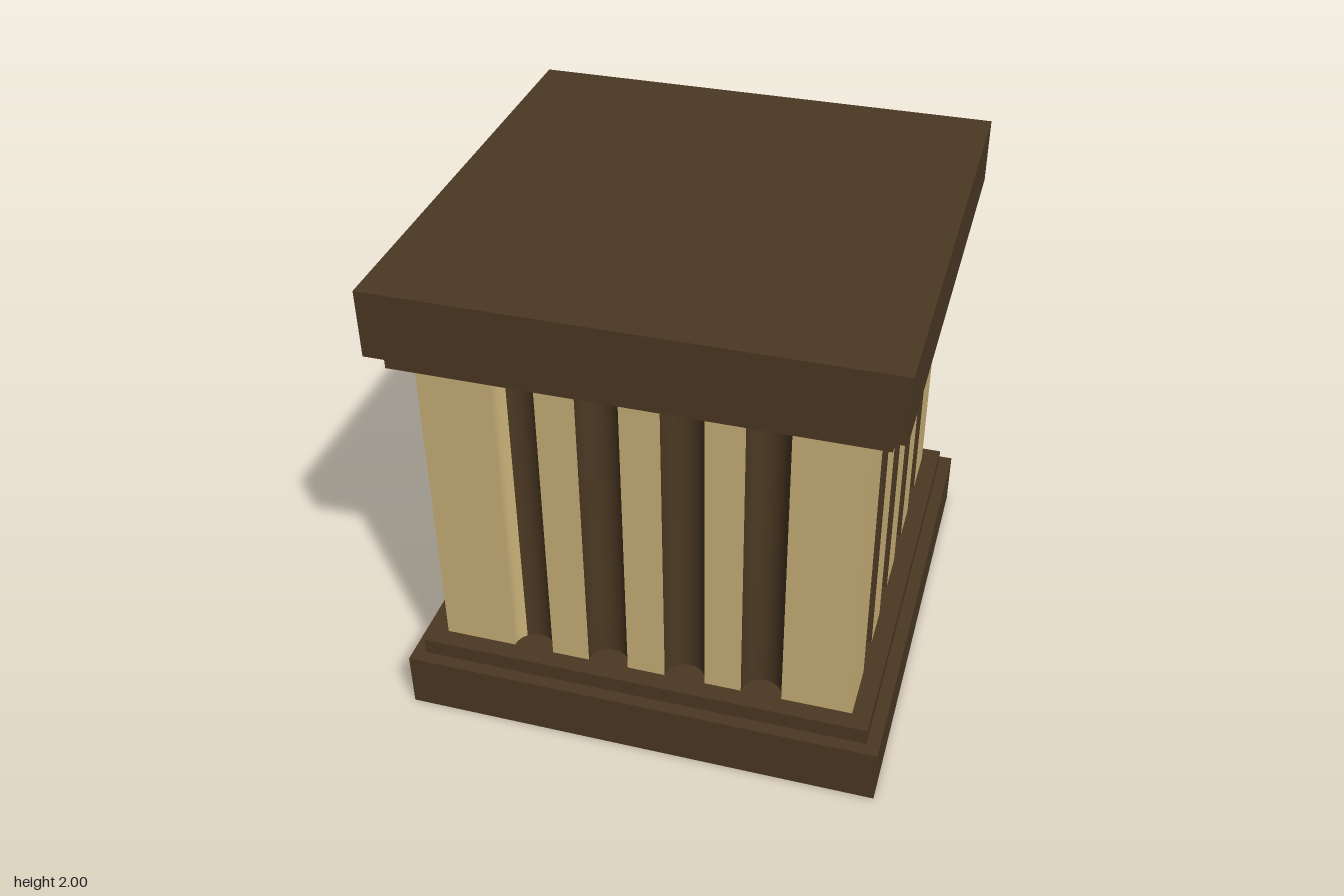
import * as THREE from 'three';

const HALF = 0.845;   // half width of the shaft
const Y0 = 0.31, Y1 = 1.655;
const H = Y1 - Y0, MID = (Y0 + Y1) / 2;

export function createModel() {
  const wood = new THREE.MeshStandardMaterial({ color: 0x4b3823 });
  wood.name = 'dark wood';
  const stone = new THREE.MeshStandardMaterial({ color: 0xc9b178 });
  stone.name = 'pale stone';
  // inner surfaces of the hollow flutes
  const woodInner = wood.clone();
  woodInner.side = THREE.DoubleSide;
  const stoneInner = stone.clone();
  stoneInner.side = THREE.DoubleSide;

  const model = new THREE.Group();
  model.name = 'flutedPedestal';

  const add = (parent, name, geometry, material, x, y, z) => {
    const mesh = new THREE.Mesh(geometry, material);
    mesh.name = name;
    mesh.position.set(x, y, z);
    parent.add(mesh);
    return mesh;
  };

  // stepped base and cap
  const slab = (name, half, y0, y1) =>
    add(model, name, new THREE.BoxGeometry(half * 2, y1 - y0, half * 2), wood, 0, (y0 + y1) / 2, 0);
  slab('basePlinth', 0.973, 0, 0.24);
  slab('baseStep', 0.92, 0.24, Y0);
  slab('capStep', 0.92, Y1, 1.73);
  slab('capSlab', 0.973, 1.73, 2);

  // part of a concave half-round channel
  const channel = (r, from, to) =>
    new THREE.CylinderGeometry(r, r, H, 20, 1, true, from, to - from);

  // one side of the shaft: flat fillets with hollow flutes between them
  // paleEdge is the side (-1 or 1) on which the end flute keeps a pale rim, or 0
  function shaftSide(name, centres, r, turn, paleEdge) {
    const side = new THREE.Group();
    side.name = name;
    let start = -HALF;
    const fillet = end => {
      add(side, 'fillet', new THREE.PlaneGeometry(end - start, H), stone, (start + end) / 2, MID, HALF);
    };
    centres.forEach((c, i) => {
      fillet(c - r);
      start = c + r;
      let from = Math.PI / 2, to = Math.PI * 1.5;
      if (paleEdge < 0 && i === 0) {
        to = Math.PI + 0.69;
        add(side, 'fluteRim', channel(r, to, Math.PI * 1.5), stoneInner, c, MID, HALF);
      }
      if (paleEdge > 0 && i === centres.length - 1) {
        from = Math.PI - 0.69;
        add(side, 'fluteRim', channel(r, Math.PI / 2, from), stoneInner, c, MID, HALF);
      }
      add(side, 'flute', channel(r, from, to), woodInner, c, MID, HALF);
    });
    fillet(HALF);
    side.rotation.y = turn;
    model.add(side);
  }

  const frontCentres = [-0.47, -0.152, 0.167, 0.48];
  const backCentres = frontCentres.map(c => -c).reverse();
  const sideCentres = [-0.525, -0.175, 0.175, 0.525];
  shaftSide('shaftFront', frontCentres, 0.082, 0, -1);
  shaftSide('shaftBack', backCentres, 0.082, Math.PI, 1);
  shaftSide('shaftLeft', sideCentres, 0.086, Math.PI / 2, 0);
  shaftSide('shaftRight', sideCentres, 0.086, -Math.PI / 2, 0);

  return model;
}
